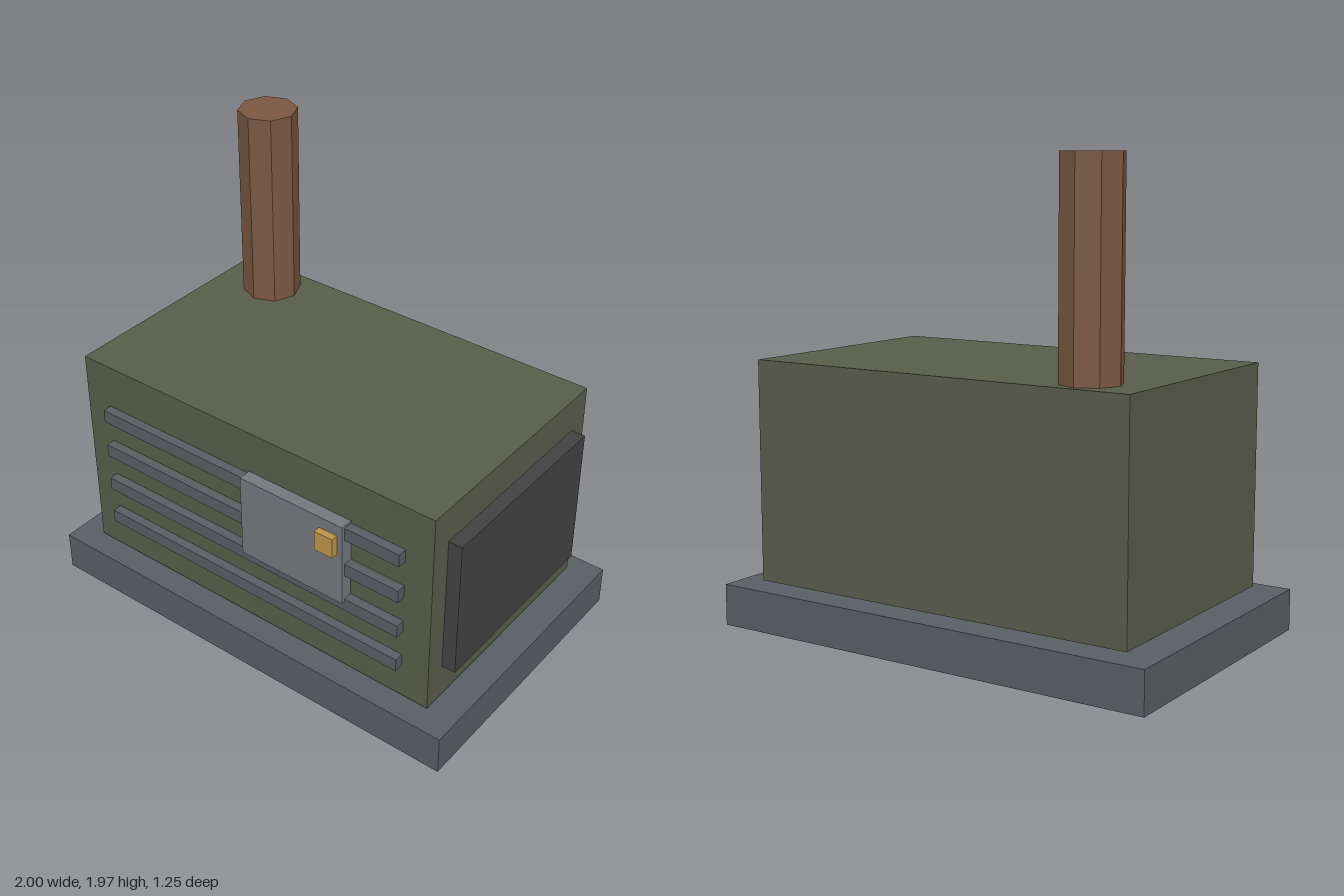
import * as THREE from 'three';

const material = (color) => new THREE.MeshStandardMaterial({ color, flatShading: true });

export function createModel() {
  const model = new THREE.Group();
  model.name = 'generator';

  const steel = material(0x585e63);
  const olive = material(0x585c4a);
  const rust = material(0x7a5841);
  const lightSteel = material(0x73787c);
  const brass = material(0xbd9548);
  const charcoal = material(0x424242);

  // Box given by its minimum and maximum corners
  function box(name, mat, [x0, y0, z0], [x1, y1, z1]) {
    const mesh = new THREE.Mesh(new THREE.BoxGeometry(x1 - x0, y1 - y0, z1 - z0), mat);
    mesh.position.set((x0 + x1) / 2, (y0 + y1) / 2, (z0 + z1) / 2);
    mesh.name = name;
    model.add(mesh);
    return mesh;
  }

  // Base slab and housing, separated by a thin gap
  box('base', steel, [-1, 0, -0.625], [1, 0.175, 0.625]);
  box('housing', olive, [-0.875, 0.19, -0.53], [0.875, 1.125, 0.53]);

  // Exhaust pipe at the back corner
  const pipe = new THREE.Mesh(new THREE.CylinderGeometry(0.125, 0.125, 0.85, 8), rust);
  pipe.position.set(-0.625, 1.545, -0.375);
  pipe.name = 'exhaustPipe';
  model.add(pipe);

  // Horizontal vent slats on the front
  for (let i = 0; i < 4; i++) {
    const y = 0.375 + i * 0.175;
    box(`ventSlat${i + 1}`, steel, [-0.75, y - 0.029, 0.51], [0.75, y + 0.029, 0.57]);
  }

  // Control panel with its knob
  box('controlPanel', lightSteel, [0, 0.565, 0.52], [0.5, 0.94, 0.585]);
  box('controlKnob', brass, [0.39, 0.8, 0.56], [0.475, 0.89, 0.615]);

  // Radiator plate on the side
  box('radiatorPlate', charcoal, [0.84, 0.345, -0.4375], [0.935, 0.97, 0.4375]);

  return model;
}
